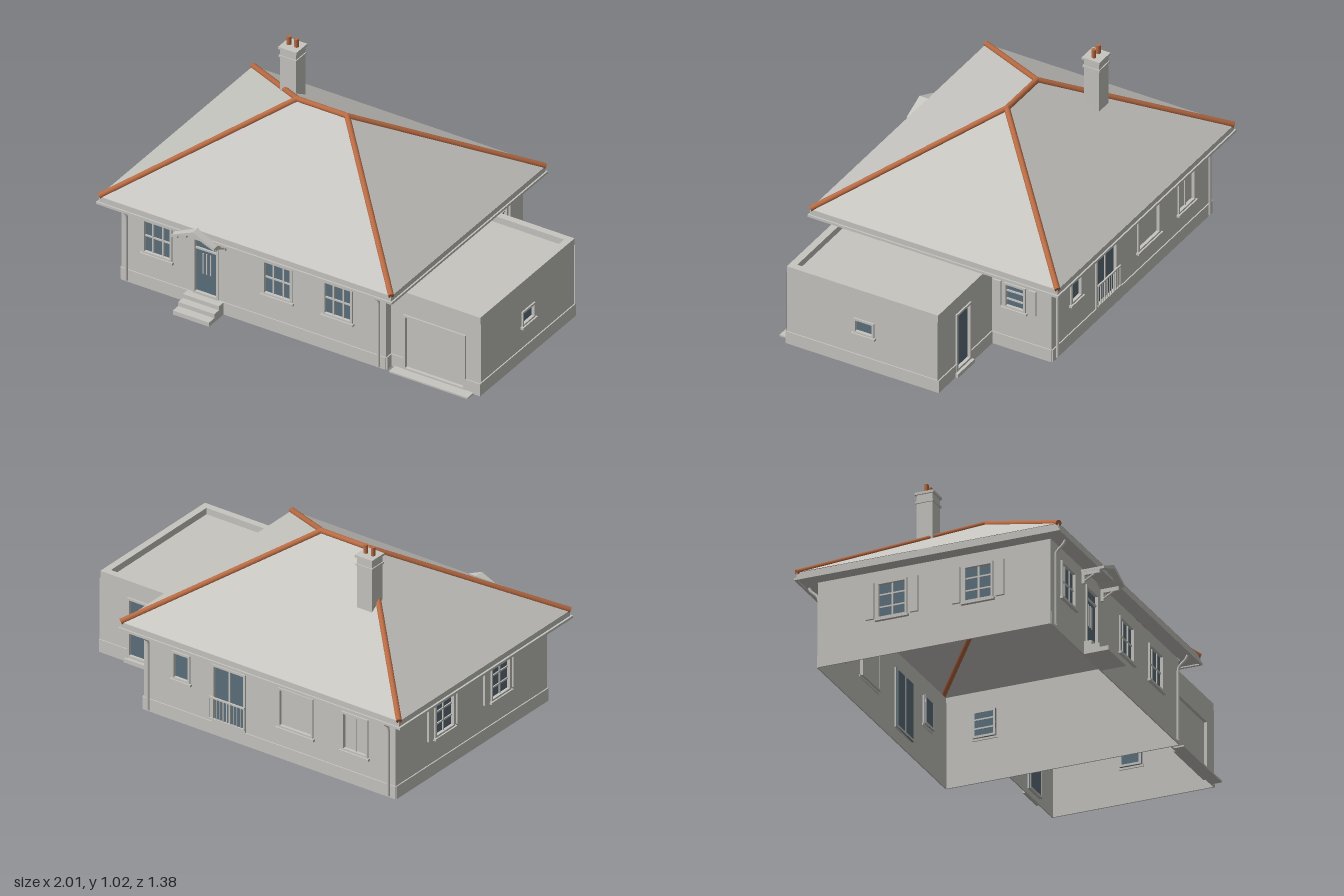
import * as THREE from 'three';

const mat = (name, color) => {
  const m = new THREE.MeshStandardMaterial({ color, side: THREE.DoubleSide });
  m.name = name;
  return m;
};

export function createModel() {
  const house = new THREE.Group();
  house.name = 'bungalow';
  const grey = mat('pale grey', 0xc6c5c0);
  const blue = mat('slate blue glass', 0x5c707c);
  const clay = mat('clay', 0xba6c44);

  const add = (parent, name, geo, m = grey) => {
    const mesh = new THREE.Mesh(geo, m);
    mesh.name = name;
    parent.add(mesh);
    return mesh;
  };
  // box given by its minimum and maximum on each axis
  const box = (parent, name, x0, x1, y0, y1, z0, z1, m) => {
    const b = add(parent, name, new THREE.BoxGeometry(x1 - x0, y1 - y0, z1 - z0), m);
    b.position.set((x0 + x1) / 2, (y0 + y1) / 2, (z0 + z1) / 2);
    return b;
  };
  const rect = (P, a0, a1, b0, b1) => {
    const s = new P();
    s.moveTo(a0, b0).lineTo(a1, b0).lineTo(a1, b1).lineTo(a0, b1).closePath();
    return s;
  };
  // flat rectangular ring lying level, from y upwards
  const ring = (name, x0, x1, z0, z1, inset, y, h) => {
    const s = rect(THREE.Shape, x0, x1, -z1, -z0);
    s.holes.push(rect(THREE.Path, x0 + inset, x1 - inset, -z1 + inset, -z0 - inset));
    const g = new THREE.ExtrudeGeometry(s, { depth: h, bevelEnabled: false });
    g.rotateX(-Math.PI / 2).translate(0, y, 0);
    return add(house, name, g);
  };
  const rod = (parent, name, a, b, r, m) => {
    const path = new THREE.LineCurve3(new THREE.Vector3(...a), new THREE.Vector3(...b));
    const mesh = add(parent, name, new THREE.CylinderGeometry(r, r, path.getLength(), 10), m);
    path.getPoint(0.5, mesh.position);
    mesh.quaternion.setFromUnitVectors(new THREE.Vector3(0, 1, 0), path.getTangent(0));
    return mesh;
  };

  // window or door: u centre, v bottom, in a wall's own frame
  const opening = (wall, o) => {
    const g = new THREE.Group();
    g.name = o.name || 'window';
    g.position.set(o.u, o.v, 0);
    wall.add(g);
    const W = o.w / 2, H = o.h, t = 0.011, out = 0.008;
    box(g, 'pane', -W, W, 0, H, -0.014, -0.008, o.blank ? grey : blue);
    box(g, 'frameLeft', -W, -W + t, 0, H, -0.016, out);
    box(g, 'frameRight', W - t, W, 0, H, -0.016, out);
    box(g, 'frameTop', -W + t, W - t, H - t, H, -0.016, out);
    box(g, 'frameBottom', -W + t, W - t, 0, t, -0.016, out);
    for (let i = 1; i < (o.cols || 1); i++) {
      const x = -W + (o.w * i) / o.cols;
      box(g, 'mullion', x - 0.004, x + 0.004, t, H - t, -0.016, -0.002);
    }
    for (let i = 1; i < (o.rows || 1); i++) {
      const y = (H * i) / o.rows;
      box(g, 'glazingBar', -W + t, W - t, y - 0.004, y + 0.004, -0.016, -0.002);
    }
    if (o.sill) box(g, 'sill', -W - 0.008, W + 0.008, -0.01, 0.002, -0.005, 0.016);
    if (o.shutters) for (const s of [-1, 1]) {
      const x = s * (W + 0.035);
      box(g, 'shutter', x - 0.02, x + 0.02, 0.005, H, 0, 0.01);
    }
    return g;
  };

  // wall with cut openings and a plinth broken at the doors
  const PL = 0.065;
  const facade = (name, turn, x, z, u0, u1, h, items) => {
    const wall = new THREE.Group();
    wall.name = name;
    wall.position.set(x, 0, z);
    wall.rotation.y = turn;
    house.add(wall);
    const s = rect(THREE.Shape, u0, u1, 0, h);
    for (const o of items) s.holes.push(rect(THREE.Path, o.u - o.w / 2, o.u + o.w / 2, o.v, o.v + o.h));
    add(wall, 'wallFace', new THREE.ShapeGeometry(s));
    let u = u0;
    for (const o of items.filter((i) => i.v < PL)) {
      box(wall, 'plinth', u, o.u - o.w / 2, 0, PL, 0, 0.006);
      u = o.u + o.w / 2;
    }
    box(wall, 'plinth', u, u1, 0, PL, 0, 0.006);
    const made = items.map((o) => opening(wall, o));
    return { wall, made };
  };

  // main house walls
  const X0 = -0.915, X1 = 0.515, Z0 = -0.6, Z1 = 0.56, EAVE = 0.43;
  const pane = { v: 0.185, w: 0.16, h: 0.185, cols: 3, rows: 2, sill: true };
  const front = facade('frontWall', 0, 0, Z1, X0, X1, EAVE, [
    { ...pane, u: -0.72 }, { ...pane, u: -0.07 }, { ...pane, u: 0.255 },
    { name: 'frontDoor', u: -0.458, v: PL, w: 0.136, h: 0.3 },
  ]);
  const back = facade('backWall', Math.PI, 0, Z0, -X1, -X0, EAVE, [
    { u: -0.3, v: 0.215, w: 0.1, h: 0.145, sill: true },
    { name: 'gardenDoors', u: -0.03, v: PL, w: 0.19, h: 0.3, cols: 2 },
    { u: 0.35, v: 0.16, w: 0.2, h: 0.205, blank: true, sill: true },
    { u: 0.687, v: 0.16, w: 0.15, h: 0.2, cols: 2, blank: true, sill: true },
  ]);
  facade('leftWall', Math.PI / 2, X1, 0, -Z1, -Z0, EAVE, [
    { u: 0.407, v: 0.22, w: 0.115, h: 0.135, rows: 3, sill: true, shutters: true },
  ]);
  facade('rightWall', -Math.PI / 2, X0, 0, Z0, Z1, EAVE, [-0.23, 0.2].map((u) => (
    { ...pane, u, w: 0.15, cols: 2, rows: 3, shutters: true })));

  // front door details
  const door = front.made[3];
  box(door, 'transom', -0.06, 0.06, 0.238, 0.247, -0.016, 0);
  for (const x of [-0.02, 0, 0.02]) box(door, 'doorSlit', x - 0.003, x + 0.003, 0.11, 0.22, -0.009, -0.004);
  // balustrade before the garden doors
  const rail = back.made[1];
  for (const y of [0.02, 0.13]) box(rail, 'handrail', -0.1, 0.1, y, y + 0.008, 0.015, 0.023);
  for (let i = 0; i <= 10; i++) {
    const x = -0.097 + i * 0.0194;
    box(rail, 'baluster', x - 0.002, x + 0.002, 0.02, 0.135, 0.017, 0.021);
  }

  // front steps
  [[0.69, 0.022], [0.645, 0.044], [0.605, PL]].forEach(([z, y]) =>
    box(house, 'frontStep', -0.555, -0.36, 0, y, Z1, z));

  // gabled door canopy on brackets
  const gable = new THREE.Shape();
  gable.moveTo(-0.115, 0.405).lineTo(0, 0.45).lineTo(0.115, 0.405).lineTo(0.115, 0.418)
    .lineTo(0, 0.468).lineTo(-0.115, 0.418).closePath();
  const canopy = add(house, 'canopyRoof', new THREE.ExtrudeGeometry(gable, { depth: 0.115, bevelEnabled: false }));
  canopy.position.set(-0.458, 0, Z1);
  for (const s of [-1, 1]) {
    const x = -0.458 + s * 0.105;
    box(house, 'canopyBracket', x - 0.006, x + 0.006, 0.39, 0.41, Z1, 0.65);
    box(house, 'canopyBracket', x - 0.006, x + 0.006, 0.35, 0.39, Z1, 0.575);
    rod(house, 'canopyBrace', [x, 0.36, Z1 + 0.008], [x, 0.4, 0.64], 0.005);
  }

  // hipped roof
  const E0 = -0.99, E1 = 0.59, F0 = -0.675, F1 = 0.635, RY = 0.86, RZ = -0.02, EY = 0.462;
  const A = [E0, EY, F1], B = [E1, EY, F1], C = [E1, EY, F0], D = [E0, EY, F0];
  const P = [-0.335, RY, RZ], Q = [-0.065, RY, RZ];
  const slopes = new THREE.BufferGeometry();
  slopes.setAttribute('position', new THREE.Float32BufferAttribute(
    [A, B, Q, A, Q, P, C, D, P, C, P, Q, B, C, Q, D, A, P].flat(), 3));
  slopes.computeVertexNormals();
  add(house, 'roofSlopes', slopes);
  ring('fasciaAndSoffit', E0, E1, F0, F1, 0.07, 0.426, EY - 0.428);
  ring('gutter', E0 - 0.01, E1 + 0.008, F0 - 0.008, F1 + 0.008, 0.012, 0.42, 0.012);

  // clay hip and ridge tiles
  for (const [a, b] of [[A, P], [D, P], [B, Q], [C, Q], [P, Q]]) rod(house, 'ridgeTiles', a, b, 0.014, clay);
  for (const p of [P, Q]) add(house, 'ridgeJoint', new THREE.SphereGeometry(0.014, 10, 8), clay).position.set(...p);

  // chimney
  box(house, 'chimneyStack', -0.54, -0.455, 0.6, 0.965, -0.277, -0.197);
  box(house, 'chimneyBand', -0.545, -0.45, 0.922, 0.932, -0.282, -0.192);
  box(house, 'chimneyCap', -0.547, -0.448, 0.965, 0.977, -0.284, -0.19);
  for (const x of [-0.518, -0.477]) rod(house, 'chimneyPot', [x, 0.97, -0.237], [x, 1.02, -0.237], 0.011, clay);

  // downpipes at the corners
  for (const x of [-0.882, 0.482]) for (const [z, s] of [[Z1, 1], [Z0, -1]]) {
    const path = new THREE.CatmullRomCurve3([[0.425, 0.06], [0.405, 0.05], [0.375, 0.016], [0.35, 0.012], [0.01, 0.012]]
      .map(([y, d]) => new THREE.Vector3(x, y, z + s * d)), false, 'catmullrom', 0.1);
    add(house, 'downpipe', new THREE.TubeGeometry(path, 24, 0.007, 8));
  }

  // flat-roofed garage
  const GX = 1, G0 = -0.283, G1 = 0.518, GR = 0.385;
  facade('garageFront', 0, 0, G1, X1, GX, GR, [
    { name: 'garageDoor', u: 0.752, v: 0.006, w: 0.335, h: 0.294, blank: true }]);
  facade('garageSide', Math.PI / 2, GX - 0.006, 0, -G1, -G0, GR, [
    { u: -0.11, v: 0.18, w: 0.108, h: 0.08, sill: true }]);
  facade('garageBack', Math.PI, 0, G0, -GX, -X1, GR, [
    { name: 'garageBackDoor', u: -0.775, v: 0.025, w: 0.13, h: 0.31 }]);
  ring('garageParapet', X1, GX - 0.003, G0, G1, 0.035, GR, 0.035);
  box(house, 'garageRoof', X1, GX - 0.02, GR - 0.006, GR + 0.002, G0 + 0.01, G1 - 0.01);
  box(house, 'garageApron', 0.54, 0.965, 0, 0.008, G1, 0.575);
  box(house, 'garageBackStep', 0.7, 0.85, 0, 0.02, -0.302, G0);

  return house;
}
